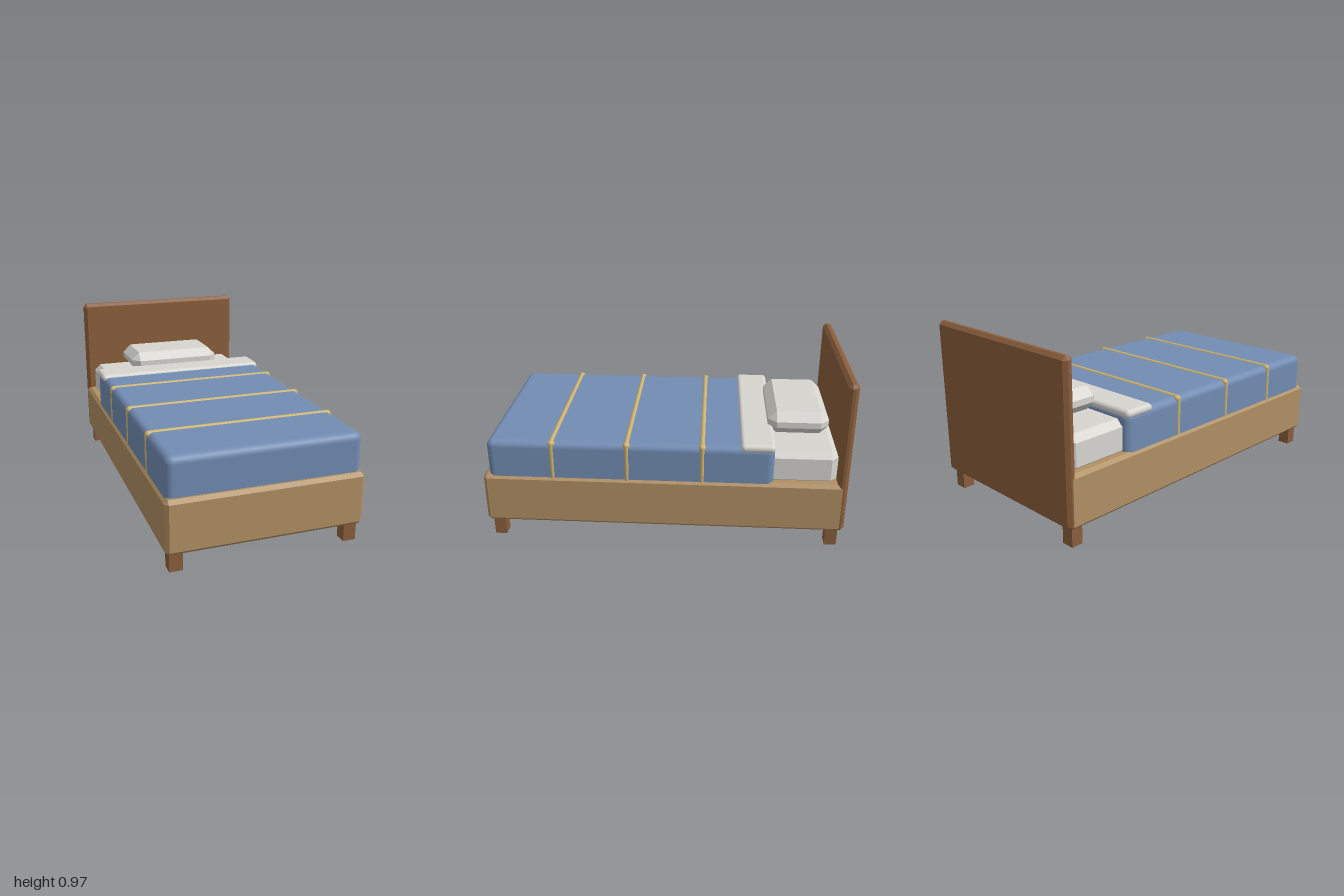
import * as THREE from 'three';
import { ConvexGeometry } from 'three/addons/geometries/ConvexGeometry.js';
import { RoundedBoxGeometry } from 'three/addons/geometries/RoundedBoxGeometry.js';

const mat = (name, color) => {
  const m = new THREE.MeshStandardMaterial({ color });
  m.name = name;
  return m;
};

// Box with every edge and corner cut at 45 degrees
function chamferBox(w, h, d, c) {
  const pts = [];
  for (const sx of [-1, 1]) for (const sy of [-1, 1]) for (const sz of [-1, 1]) {
    for (let axis = 0; axis < 3; axis++) {
      const p = [w / 2 - c, h / 2 - c, d / 2 - c];
      p[axis] += c;
      pts.push(new THREE.Vector3(sx * p[0], sy * p[1], sz * p[2]));
    }
  }
  return new ConvexGeometry(pts);
}

export function createModel() {
  const bed = new THREE.Group();
  bed.name = 'bed';
  const darkWood = mat('darkWood', 0x8b5e3c);
  const lightWood = mat('lightWood', 0xb08f63);
  const linen = mat('linen', 0xd6d5d0);
  const blue = mat('blueBlanket', 0x728cb3);
  const gold = mat('goldTrim', 0xcdb36f);

  const add = (name, geometry, material, x, y, z, parent = bed) => {
    const mesh = new THREE.Mesh(geometry, material);
    mesh.name = name;
    mesh.position.set(x, y, z);
    parent.add(mesh);
    return mesh;
  };

  // Frame and headboard
  add('frame', chamferBox(1.066, 0.29, 1.99, 0.019), lightWood, 0, 0.245, 0.005);
  add('headboard', chamferBox(1.064, 0.873, 0.055, 0.019), darkWood, 0, 0.5375, -0.9725);

  // Legs
  const legGeo = new THREE.BoxGeometry(0.07, 0.12, 0.066);
  for (const x of [-1, 1]) for (const z of [-1, 1]) {
    add('leg', legGeo, darkWood, x * 0.475, 0.06, z * 0.937);
  }

  // Bedding
  add('mattress', chamferBox(0.97, 0.2, 1.87, 0.037), linen, 0, 0.46, -0.01);
  add('blanket', new RoundedBoxGeometry(1.04, 0.3, 1.57, 4, 0.04), blue, 0, 0.448, 0.185);
  add('foldedSheet', new RoundedBoxGeometry(1.052, 0.046, 0.185, 4, 0.0225), linen, 0, 0.592, -0.508);
  add('pillow', chamferBox(0.58, 0.13, 0.34, 0.048), linen, 0, 0.63, -0.74);

  // Piping bands over the blanket, with round corner joints
  const barGeo = new THREE.CylinderGeometry(0.014, 0.014, 1.01, 12).rotateZ(Math.PI / 2);
  const sideGeo = new THREE.CylinderGeometry(0.012, 0.012, 0.21, 12);
  const jointGeo = new THREE.SphereGeometry(0.02, 14, 10);
  for (const z of [0.61, 0.2, -0.21]) {
    const band = new THREE.Group();
    band.name = 'band';
    band.position.z = z;
    bed.add(band);
    add('bandTop', barGeo, gold, 0, 0.592, 0, band);
    for (const s of [-1, 1]) {
      add('bandSide', sideGeo, gold, s * 0.514, 0.482, 0, band);
      add('bandCorner', jointGeo, gold, s * 0.505, 0.585, 0, band);
    }
  }
  return bed;
}
